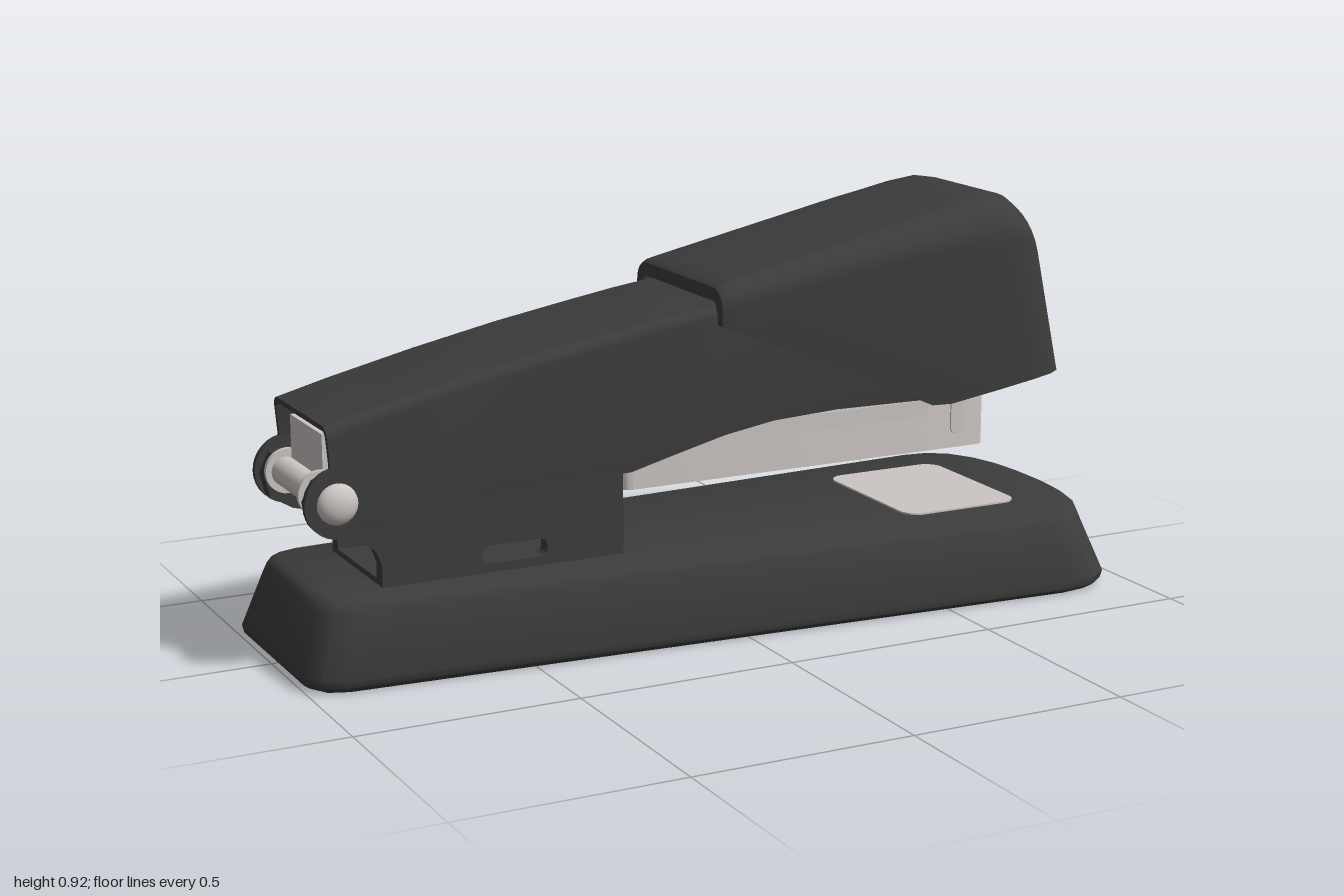
import * as THREE from 'three';
import { toCreasedNormals } from 'three/addons/utils/BufferGeometryUtils.js';

const mat = (name, color) => Object.assign(new THREE.MeshStandardMaterial({ color }), { name });

// Joins equal closed loops of [x, y, z] points; each end is capped by pairing point i with its mirror.
function loft(loops, crease = 0.7) {
  const out = [];
  const quad = (a, b, c, d) => out.push(...a, ...b, ...c, ...a, ...c, ...d);
  const n = loops[0].length;
  for (let s = 0; s < loops.length - 1; s++) {
    const p = loops[s], q = loops[s + 1];
    for (let i = 0; i < n; i++) {
      const j = (i + 1) % n;
      quad(p[i], q[i], q[j], p[j]);
    }
  }
  const first = loops[0], last = loops[loops.length - 1];
  for (let i = 0; i < n / 2 - 1; i++) {
    quad(first[i], first[i + 1], first[n - 2 - i], first[n - 1 - i]);
    quad(last[n - 1 - i], last[n - 2 - i], last[i + 1], last[i]);
  }
  const g = new THREE.BufferGeometry();
  g.setAttribute('position', new THREE.Float32BufferAttribute(out, 3));
  return toCreasedNormals(g, crease);
}

// One inverted-U wall section; "fill" drops the inner roof to the lower edge, making it solid.
function channelLoop({ xb, yb, xt, yt, w, r, t, fill }) {
  const arch = (hw, top, rad) => {
    const half = [[hw, yb]];
    for (let k = 0; k <= 7; k++) {
      const a = (k / 7) * Math.PI / 2;
      half.push([hw - rad + rad * Math.cos(a), top - rad + rad * Math.sin(a)]);
    }
    return [...half, ...half.map(([z, y]) => [-z, y]).reverse()];
  };
  const outer = arch(w, yt, r);
  const inner = arch(w - t, yt - t, Math.max(r - t, 0.004)).map(([z, y]) => [z, fill ? yb : Math.max(y, yb)]);
  return [...outer, ...inner.reverse()].map(([z, y]) => {
    const f = (y - yb) / (yt - yb);
    return [xb + (xt - xb) * f, y, z];
  });
}

const channel = (rows, t) => loft(rows.map(([xb, yb, xt, yt, w, r, fill]) =>
  channelLoop({ xb, yb, xt, yt, w, r, t, fill })));

// Rounded rectangle shape centred on cx, cy
function roundRect(cx, cy, w, h, r, Kind = THREE.Shape) {
  const s = new Kind(), x = w / 2 - r, y = h / 2 - r;
  s.absarc(cx + x, cy + y, r, 0, Math.PI / 2);
  s.absarc(cx - x, cy + y, r, Math.PI / 2, Math.PI);
  s.absarc(cx - x, cy - y, r, Math.PI, Math.PI * 1.5);
  s.absarc(cx + x, cy - y, r, Math.PI * 1.5, Math.PI * 2);
  s.closePath();
  return s;
}

const extrude = (shape, depth) =>
  new THREE.ExtrudeGeometry(shape, { depth, bevelEnabled: false, curveSegments: 8 });

export function createModel() {
  const model = new THREE.Group();
  model.name = 'stapler';
  const black = mat('black plastic', 0x3c3c3c);
  const silver = mat('silver metal', 0xccc6c3);
  const add = (name, geometry, material, x = 0, y = 0, z = 0) => {
    const m = new THREE.Mesh(geometry, material);
    m.name = name;
    m.position.set(x, y, z);
    model.add(m);
    return m;
  };

  // Tapered base with rounded edges
  const half = [[1, 0.06], [0.992, 0.16], [0.97, 0.25], [0.935, 0.32], [0.885, 0.36], [0.82, 0.37],
    [-0.93, 0.262], [-0.975, 0.245], [-1, 0.2]];
  const outline = [...half, ...half.map(([x, z]) => [x, -z]).reverse()];
  const levels = [[0, 0.02], [0.012, 0.004], [0.03, 0], [0.155, 0.045], [0.175, 0.053], [0.185, 0.068]];
  add('base', loft(levels.map(([y, d]) => outline.map(([x, z]) => [x * (1 - d), y, z * (1 - d / 0.36)]))), black);

  // Anvil plate set on the base
  const anvil = extrude(roundRect(0.63, 0, 0.3, 0.38, 0.04), 0.005).rotateX(-Math.PI / 2);
  add('anvilPlate', anvil, silver, 0, 0.184, 0);

  // Hinge bracket: two slotted cheeks and a floor
  const cheek = new THREE.Shape([[-0.8, 0.18], [-0.235, 0.18], [-0.235, 0.4], [-0.88, 0.45], [-0.94, 0.43],
    [-0.962, 0.385], [-0.95, 0.335], [-0.9, 0.305], [-0.84, 0.29], [-0.812, 0.265], [-0.8, 0.235]]
    .map(p => new THREE.Vector2(...p)));
  cheek.holes.push(roundRect(-0.495, 0.225, 0.155, 0.04, 0.019, THREE.Path));
  for (const z of [0.12, -0.155]) add('bracketCheek', extrude(cheek, 0.035), black, 0, 0, z);
  add('bracketFloor', new THREE.BoxGeometry(0.565, 0.015, 0.25), black, -0.5175, 0.19, 0);

  // Rear arm: open channel, rows are lower x, y, upper x, y, half width, edge radius
  add('arm', channel([
    [-0.9, 0.308, -0.92, 0.55, 0.168, 0.025],
    [-0.8, 0.32, -0.8, 0.58, 0.171, 0.025],
    [-0.6, 0.36, -0.6, 0.625, 0.176, 0.025],
    [-0.4, 0.375, -0.4, 0.665, 0.181, 0.025],
    [-0.23, 0.376, -0.23, 0.694, 0.185, 0.025],
    [-0.1, 0.41, -0.1, 0.715, 0.188, 0.025],
    [0, 0.435, 0, 0.728, 0.19, 0.025],
    [0.12, 0.455, 0.12, 0.745, 0.193, 0.025],
    [0.28, 0.464, 0.28, 0.77, 0.197, 0.025],
    [0.53, 0.462, 0.53, 0.8, 0.203, 0.025],
  ], 0.012), black);

  // Front cover: hollow cap with a closed, rounded nose
  add('frontCover', channel([
    [-0.02, 0.685, -0.02, 0.765, 0.212, 0.045],
    [-0.01, 0.68, -0.01, 0.773, 0.215, 0.05],
    [0.03, 0.662, 0.03, 0.782, 0.217, 0.052],
    [0.46, 0.48, 0.45, 0.873, 0.233, 0.075],
    [0.51, 0.456, 0.49, 0.882, 0.235, 0.08],
    [0.56, 0.455, 0.54, 0.892, 0.237, 0.085],
    [0.68, 0.474, 0.62, 0.91, 0.24, 0.095],
    [0.78, 0.49, 0.69, 0.92, 0.24, 0.1],
    [0.83, 0.498, 0.735, 0.913, 0.236, 0.1],
    [0.83, 0.498, 0.735, 0.913, 0.236, 0.1, true],
    [0.855, 0.501, 0.77, 0.888, 0.222, 0.1, true],
    [0.867, 0.503, 0.792, 0.85, 0.2, 0.09, true],
    [0.872, 0.505, 0.803, 0.81, 0.17, 0.08, true],
  ], 0.03), black);

  // Staple magazine with rounded front corners
  const body = extrude(roundRect(0.235, 0, 0.94, 0.31, 0.025), 0.17).rotateX(-Math.PI / 2);
  add('magazine', toCreasedNormals(body, 0.6), silver, 0, 0.327, 0);
  for (const s of [1, -1]) {
    const z = s > 0 ? 0.154 : -0.159;
    add('magazineRib', extrude(roundRect(0.2, 0.43, 0.69, 0.038, 0.018), 0.005), silver, 0, 0, z);
    add('magazineSlot', extrude(roundRect(0.625, 0.425, 0.034, 0.13, 0.016), 0.005), silver, 0, 0, z);
  }
  add('magazineSeam', new THREE.BoxGeometry(0.004, 0.06, 0.026), black, 0.705, 0.467, 0);
  add('frontPin', new THREE.BoxGeometry(0.009, 0.09, 0.024), silver, 0.706, 0.405, 0);
  add('frontTab', new THREE.BoxGeometry(0.008, 0.03, 0.076), silver, 0.706, 0.342, 0);

  // Hinge: ear discs, domed rivets, cross pin with collars and spring plate
  const rod = (r, len) => new THREE.CylinderGeometry(r, r, len, 32).rotateX(Math.PI / 2);
  for (const s of [1, -1]) {
    add('hingeEar', rod(0.077, 0.014), black, -0.895, 0.385, s * 0.162);
    add('rivet', new THREE.SphereGeometry(0.045, 24, 16), silver, -0.9, 0.385, s * 0.169).scale.z = 0.6;
    add('pinCollar', rod(0.05, 0.012), silver, -0.915, 0.395, s * 0.105);
  }
  add('hingePin', rod(0.032, 0.26), silver, -0.92, 0.395, 0);
  add('springPlate', new THREE.BoxGeometry(0.012, 0.13, 0.2), silver, -0.9, 0.455, 0);

  return model;
}
